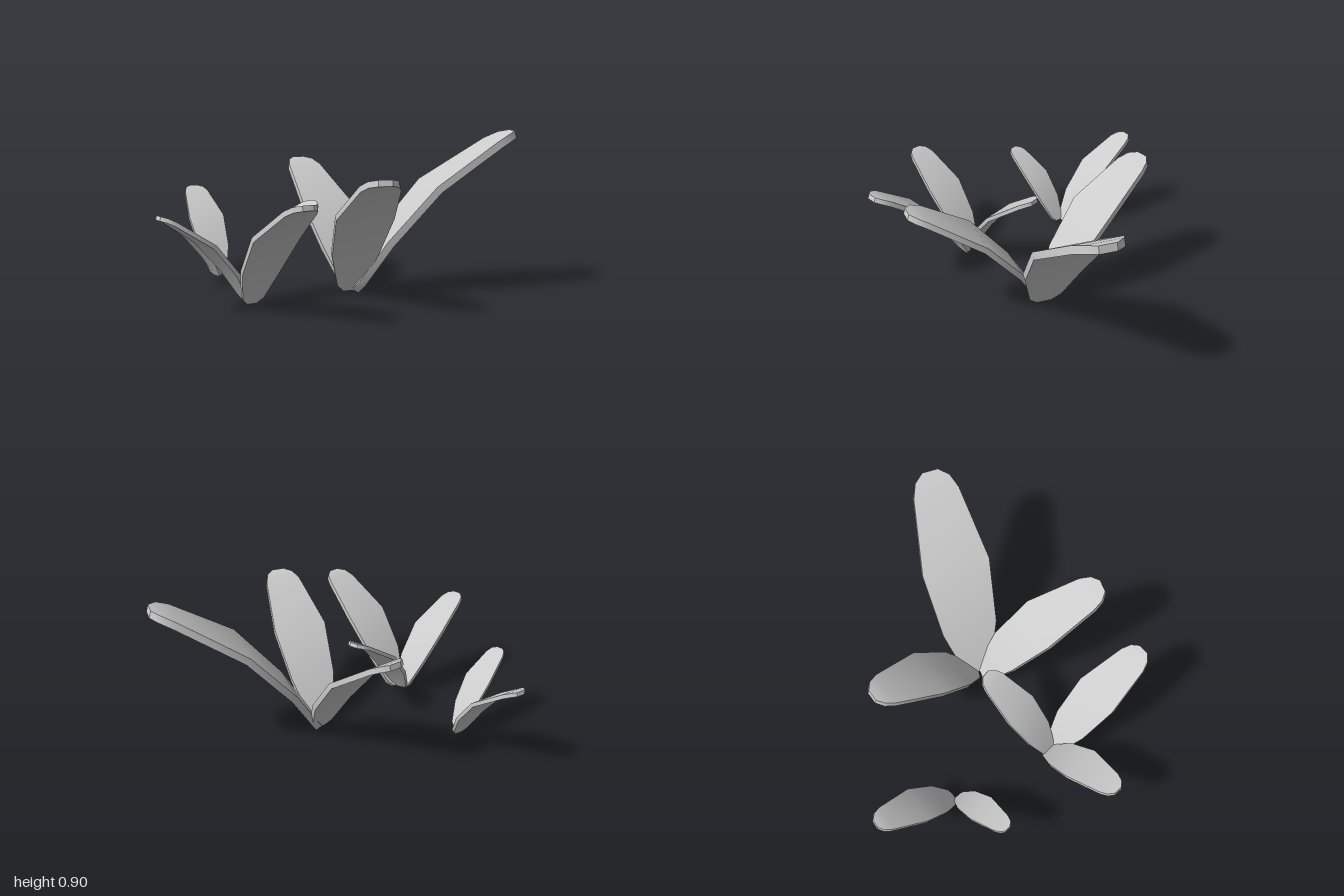
import * as THREE from 'three';
import { toCreasedNormals } from 'three/addons/utils/BufferGeometryUtils.js';

// Leaf cross-sections for a leaf of unit reach: [outward, height, half width]
const ROWS = [
  [0, 0, 0.045],
  [0.03, 0.05, 0.1],
  [0.19, 0.31, 0.18],
  [0.475, 0.64, 0.218],
  [0.87, 0.9, 0.145],
  [0.95, 0.94, 0.11],
  [1, 0.955, 0.05],
];
const THICKNESS = 0.045;

// A slab that rises steeply, then arches outward along +z
function leafGeometry() {
  const positions = [];
  const index = [];
  ROWS.forEach(([z, y, w], i) => {
    const before = ROWS[Math.max(i - 1, 0)];
    const after = ROWS[Math.min(i + 1, ROWS.length - 1)];
    const dz = after[0] - before[0];
    const dy = after[1] - before[1];
    const k = THICKNESS / Math.hypot(dz, dy);
    const zb = z + dy * k;
    const yb = y - dz * k;
    positions.push(-w, y, z, w, y, z, w, yb, zb, -w, yb, zb);
    if (i === 0) return;
    for (let j = 0; j < 4; j++) {
      const a = (i - 1) * 4 + j;
      const b = (i - 1) * 4 + ((j + 1) % 4);
      index.push(a, a + 4, b, b, a + 4, b + 4);
    }
  });
  // Close the foot and the tip
  const e = (ROWS.length - 1) * 4;
  index.push(0, 1, 2, 0, 2, 3, e, e + 2, e + 1, e, e + 3, e + 2);
  const geometry = new THREE.BufferGeometry();
  geometry.setAttribute('position', new THREE.Float32BufferAttribute(positions, 3));
  geometry.setIndex(index);
  return toCreasedNormals(geometry, 0.6);
}

// Each leaf: foot x, foot z, tip x, tip z
const PLANTS = {
  largePlant: [
    [0.175, 0.235, 0.285, -0.46],
    [0.135, 0.235, -0.16, 0.9],
    [0.155, 0.235, 0.975, 0.66],
  ],
  mediumPlant: [
    [-0.49, 0.165, -1, 0.14],
    [-0.515, 0.175, -0.015, 0.115],
    [-0.5, 0.2, -0.565, 0.815],
  ],
  smallPlant: [
    [-0.305, -0.43, -0.2, -0.915],
    [-0.315, -0.415, -0.71, -0.415],
  ],
};

export function createModel() {
  const model = new THREE.Group();
  model.name = 'leafyPlants';
  const material = new THREE.MeshStandardMaterial({ color: 0xcccccc });
  const geometry = leafGeometry();

  for (const [name, leaves] of Object.entries(PLANTS)) {
    const plant = new THREE.Group();
    plant.name = name;
    leaves.forEach(([x, z, tipX, tipZ], i) => {
      const reach = Math.hypot(tipX - x, tipZ - z);
      const leaf = new THREE.Mesh(geometry, material);
      leaf.name = `leaf${i + 1}`;
      leaf.scale.setScalar(reach);
      leaf.rotation.y = Math.atan2(tipX - x, tipZ - z);
      // Larger leaves are rooted a little deeper
      leaf.position.set(x, 0.06 - 0.043 * reach, z);
      plant.add(leaf);
    });
    model.add(plant);
  }
  return model;
}
